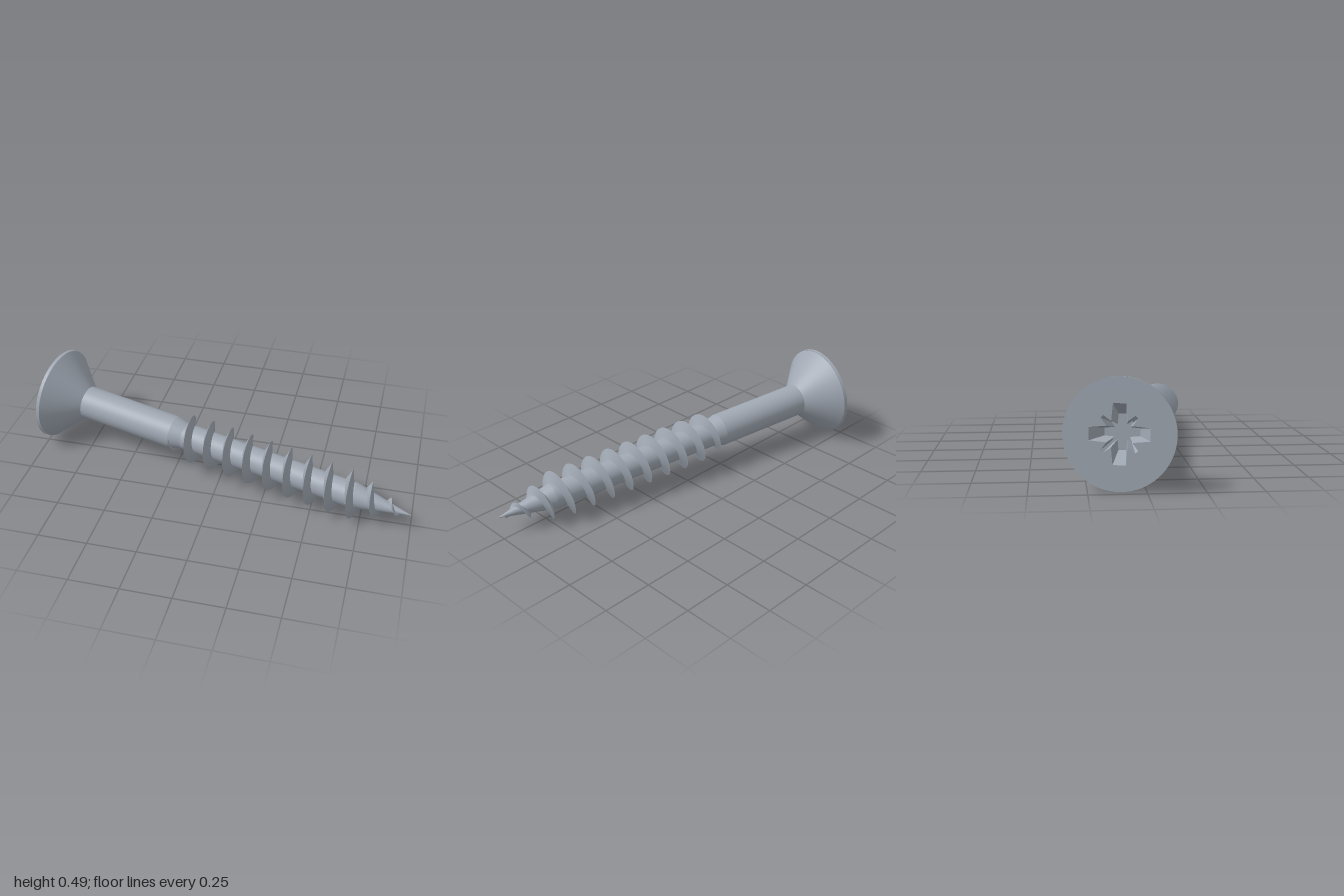
import * as THREE from 'three';

// Piecewise-linear profile lookup: stops are [distance along axis, radius]
function lookup(stops, s) {
  if (s <= stops[0][0]) return stops[0][1];
  for (let i = 1; i < stops.length; i++) {
    const [s0, r0] = stops[i - 1], [s1, r1] = stops[i];
    if (s <= s1) return r0 + (r1 - r0) * (s - s0) / (s1 - s0);
  }
  return stops[stops.length - 1][1];
}

const BODY = [
  ['headRim', 0, 0.243, 0.018, 0.243],
  ['headCone', 0.018, 0.241, 0.175, 0.0875],
  ['shank', 0.175, 0.0875, 0.7, 0.0865],
  ['shankTaper', 0.7, 0.0865, 0.765, 0.07],
  ['threadedCore', 0.765, 0.07, 1.7, 0.066],
  ['tip', 1.7, 0.066, 1.995, 0],
];
const CORE = [[0.7, 0.0865], [0.765, 0.07], [1.7, 0.066], [1.995, 0]];
const CREST = [[0.69, 0.08], [0.735, 0.098], [0.79, 0.122], [1.69, 0.123], [1.79, 0.085], [1.89, 0.042], [1.98, 0.004]];

// Right-handed helical ridge with sharp crest, running along +x
function threadGeometry() {
  const pitch = 0.1096, perTurn = 48, sTop = 0.79;
  const start = -0.9, end = 10.8;
  const n = Math.round((end - start) * perTurn);
  const pos = [], idx = [];
  for (let i = 0; i <= n; i++) {
    const turn = start + (end - start) * i / n;
    const a = turn * Math.PI * 2, s = sTop + turn * pitch;
    const crest = lookup(CREST, s), core = lookup(CORE, s);
    const w = Math.min(0.022, Math.max(0.003, (crest - core) * 0.45));
    const put = (x, r) => pos.push(x, r * Math.cos(a), r * Math.sin(a));
    put(s - w, lookup(CORE, s - w) * 0.97);
    put(s, crest);
    put(s, crest);
    put(s + w, lookup(CORE, s + w) * 0.97);
    if (i < n) {
      for (const k of [0, 2]) {
        const A = i * 4 + k, B = A + 1;
        idx.push(A, A + 4, B, A + 4, B + 4, B);
      }
    }
  }
  const g = new THREE.BufferGeometry();
  g.setAttribute('position', new THREE.Float32BufferAttribute(pos, 3));
  g.setIndex(idx);
  g.computeVertexNormals();
  return g;
}

// Cross recess outline: four wide arms with narrow notches between them
function recessOutline(scale) {
  const quarter = [[0.13, -0.028], [0.13, 0.028], [0.055, 0.035], [0.079, 0.068], [0.068, 0.079], [0.035, 0.055]];
  const pts = [];
  for (let q = 0; q < 4; q++) {
    for (const [x, y] of quarter) {
      pts.push(new THREE.Vector2(x * scale, y * scale).rotateAround(new THREE.Vector2(), q * Math.PI / 2));
    }
  }
  return pts;
}

export function createModel() {
  const steel = new THREE.MeshStandardMaterial({ color: 0xa0a8b3 });
  steel.name = 'steel';
  const screw = new THREE.Group();
  screw.name = 'screw';
  const add = (name, geometry) => {
    const mesh = new THREE.Mesh(geometry, steel);
    mesh.name = name;
    screw.add(mesh);
  };

  // Turned body sections along +x
  for (const [name, s0, r0, s1, r1] of BODY) {
    const g = new THREE.LatheGeometry([new THREE.Vector2(r0, s0), new THREE.Vector2(r1, s1)], 72);
    add(name, g.rotateZ(-Math.PI / 2));
  }
  add('thread', threadGeometry());

  // Flat head face with the recess cut out
  const outer = recessOutline(1), inner = recessOutline(0.6), depth = 0.1;
  const face = new THREE.Shape();
  face.absarc(0, 0, 0.243, 0, Math.PI * 2);
  face.holes.push(new THREE.Path(outer));
  add('headFace', new THREE.ShapeGeometry(face, 72).rotateY(-Math.PI / 2));

  // Tapered recess walls and floor
  const walls = [];
  outer.forEach((p, i) => {
    const j = (i + 1) % outer.length, q = outer[j], P = inner[i], Q = inner[j];
    walls.push(p.x, p.y, 0, q.x, q.y, 0, Q.x, Q.y, -depth);
    walls.push(p.x, p.y, 0, Q.x, Q.y, -depth, P.x, P.y, -depth);
  });
  const wallGeo = new THREE.BufferGeometry();
  wallGeo.setAttribute('position', new THREE.Float32BufferAttribute(walls, 3));
  wallGeo.computeVertexNormals();
  add('recessWalls', wallGeo.rotateY(-Math.PI / 2));
  add('recessFloor', new THREE.ShapeGeometry(new THREE.Shape(inner)).translate(0, 0, -depth).rotateY(-Math.PI / 2));

  // Lay the screw down on its head rim and thread
  const axis = new THREE.Vector3(0.976, -0.0726, 0.205).normalize();
  const side = new THREE.Vector3().crossVectors(axis, new THREE.Vector3(0, 1, 0)).normalize();
  const up = new THREE.Vector3().crossVectors(side, axis);
  screw.quaternion.setFromRotationMatrix(new THREE.Matrix4().makeBasis(axis, up, side));
  screw.position.set(-0.947, 0.244, -0.115);

  const model = new THREE.Group();
  model.name = 'woodScrew';
  model.add(screw);
  return model;
}
